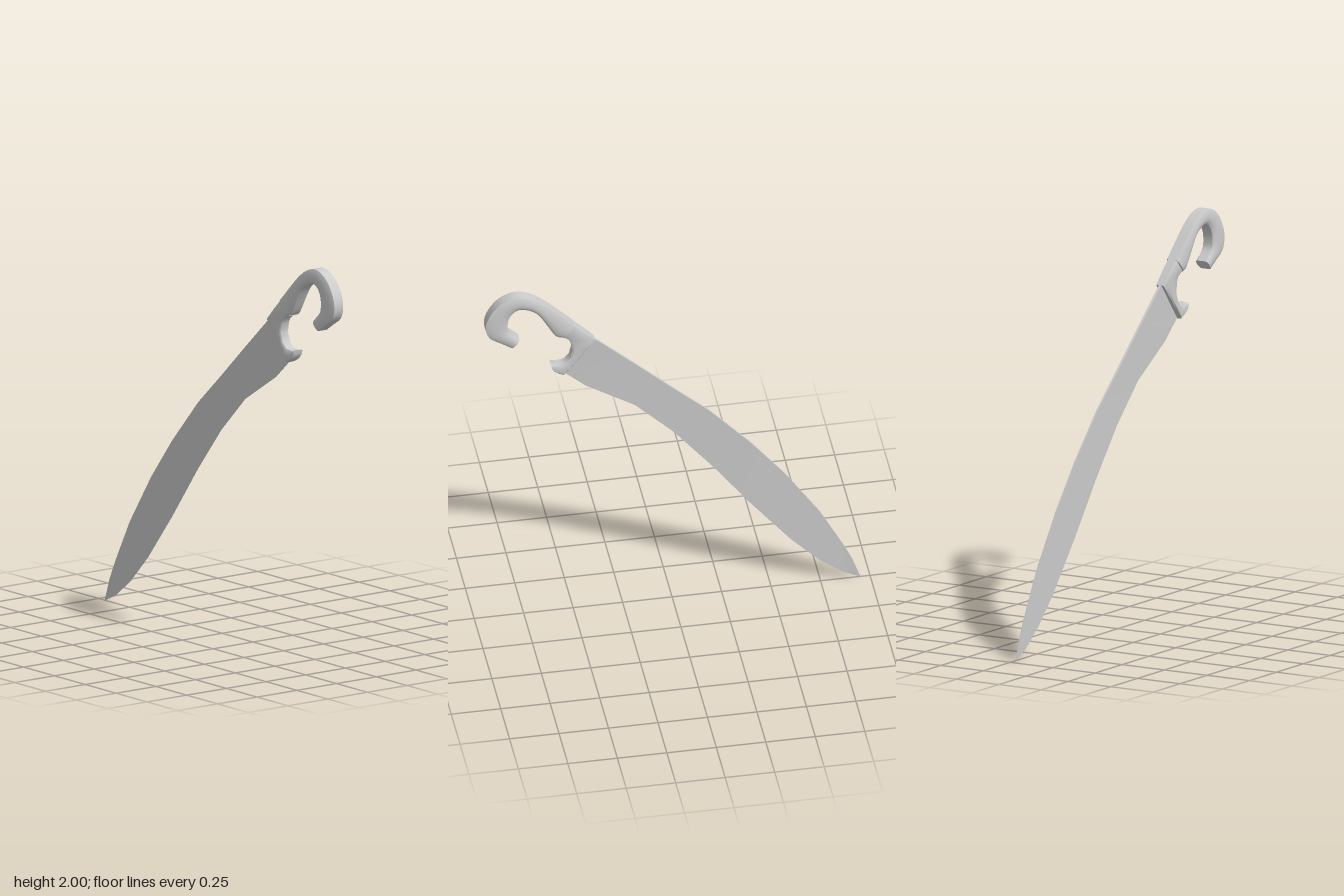
import * as THREE from 'three';
import { toCreasedNormals } from 'three/addons/utils/BufferGeometryUtils.js';

const material = new THREE.MeshStandardMaterial({ color: 0xcccccc });

// Solid ribbon between an outer and an inner edge line.
// profile(i) gives [across 0..1, half thickness] pairs for station i / (n - 1).
function ribbon(name, outer, inner, profile, crease) {
  const n = outer.length;
  const loops = outer.map((o, i) => {
    const half = profile(i / (n - 1)).map(([t, z]) => [
      o[0] + (inner[i][0] - o[0]) * t, o[1] + (inner[i][1] - o[1]) * t, z]);
    const back = half.map(([x, y, z]) => [x, y, -z]).reverse();
    return [...half, ...back];
  });
  const m = loops[0].length;
  const index = [];
  for (let i = 0; i < n - 1; i++) {
    for (let j = 0; j < m; j++) {
      const k = (j + 1) % m;
      const a = i * m + j, b = i * m + k, c = b + m, d = a + m;
      index.push(a, b, c, a, c, d);
    }
  }
  // end caps, as strips between the two faces
  const last = (n - 1) * m;
  for (let j = 0; j < m / 2 - 1; j++) {
    const a = j, b = j + 1, c = m - 2 - j, d = m - 1 - j;
    index.push(a, c, b, a, d, c);
    index.push(last + a, last + b, last + c, last + a, last + c, last + d);
  }
  const geometry = new THREE.BufferGeometry();
  geometry.setAttribute('position', new THREE.Float32BufferAttribute(loops.flat(2), 3));
  geometry.setIndex(index);
  const mesh = new THREE.Mesh(toCreasedNormals(geometry, crease), material);
  mesh.name = name;
  return mesh;
}

// Smooth a line of 2D points while keeping paired lines in step
function smooth(points, steps) {
  const curve = new THREE.SplineCurve(points.map(p => new THREE.Vector2(...p)));
  return curve.getPoints((points.length - 1) * steps).map(p => [p.x, p.y]);
}

export function createModel() {
  const group = new THREE.Group();

  // Curved blade: thick spine tapering to the cutting edge and to the tip
  const spine = [[-0.95, 0.005], [-0.91, 0.12], [-0.865, 0.215], [-0.745, 0.44], [-0.57, 0.7],
    [-0.4, 0.914], [-0.188, 1.147], [0, 1.317], [0.2, 1.502], [0.39, 1.675], [0.405, 1.685]];
  const edge = [[-0.948, 0.002], [-0.86, 0.045], [-0.743, 0.135], [-0.6, 0.283], [-0.4, 0.532],
    [-0.2, 0.8], [-0.008, 1.036], [0.188, 1.23], [0.437, 1.386], [0.55, 1.487], [0.56, 1.5]];
  group.add(ribbon('blade', spine, edge, s => {
    const z = 0.001 + 0.007 * s;
    return [[0, z], [1, 0.0006]];
  }, 0.4));

  // Guard: bevelled collar along the blade, with a small hook at the lower end
  const collar = [[0.61, 1.527], [0.595, 1.507], [0.572, 1.493], [0.55, 1.483], [0.51, 1.533],
    [0.47, 1.581], [0.43, 1.63], [0.39, 1.677], [0.45, 1.741], [0.505, 1.794]];
  const hollow = [[0.617, 1.555], [0.59, 1.549], [0.568, 1.55], [0.545, 1.555], [0.518, 1.585],
    [0.506, 1.63], [0.514, 1.675], [0.526, 1.7], [0.545, 1.714], [0.57, 1.722]];
  group.add(ribbon('guard', collar, hollow, () =>
    [[0, 0.022], [0.12, 0.028], [0.5, 0.028], [0.85, 0.027], [1, 0.022]], 0.7));

  // Grip: swells in the middle and curls round into the hooked pommel
  const back = smooth([[0.5, 1.789], [0.537, 1.825], [0.595, 1.883], [0.653, 1.937], [0.715, 1.98],
    [0.78, 2], [0.835, 1.99], [0.89, 1.953], [0.934, 1.885], [0.946, 1.82],
    [0.924, 1.765], [0.87, 1.728], [0.813, 1.69]], 3);
  const palm = smooth([[0.56, 1.722], [0.59, 1.735], [0.62, 1.78], [0.648, 1.83], [0.68, 1.88],
    [0.72, 1.91], [0.77, 1.925], [0.81, 1.905], [0.833, 1.86], [0.833, 1.8],
    [0.812, 1.77], [0.793, 1.752], [0.775, 1.735]], 3);
  group.add(ribbon('grip', back, palm, () =>
    [[0, 0.028], [0.08, 0.031], [0.25, 0.035], [0.5, 0.038], [0.75, 0.037], [0.92, 0.032], [1, 0.027]], 0.7));

  return group;
}
